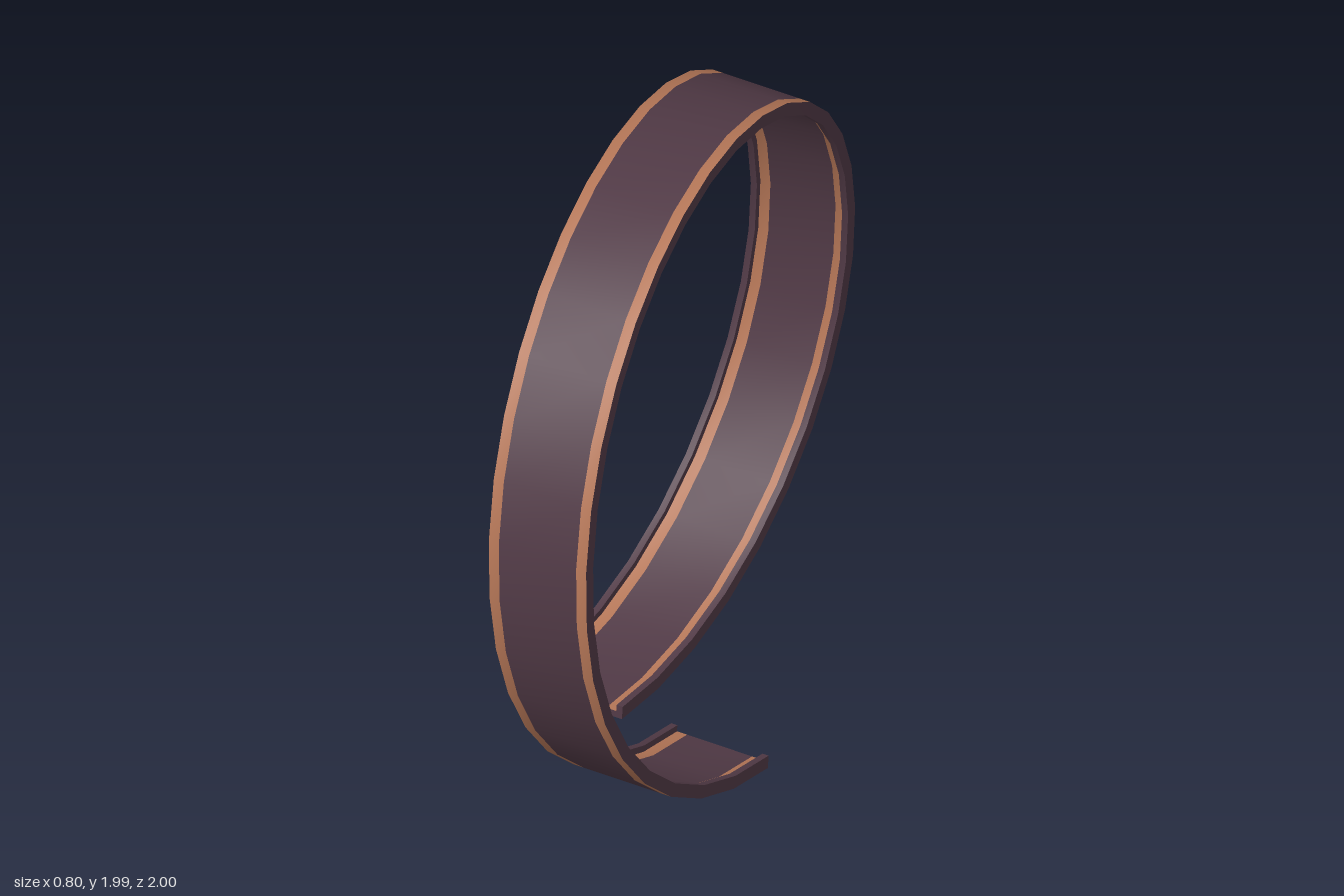
import * as THREE from 'three';

const SEGMENTS = 34;
const STEP = (Math.PI * 2) / SEGMENTS;
const W = 0.16;        // half width of the band
const LIP = 0.02;      // width of the raised edge
const STRIPE = 0.033;  // width of the coloured stripe
const OUT = 0.998, FLOOR = 0.978, RIM = 0.958; // radii

// sideways drift of the band along the loop
const drift = (t) => -0.24 + 0.48 * t + 0.03 * Math.sin(Math.PI * t) - 0.028 * Math.sin(2 * Math.PI * t);

// section point [across, radius] placed at step i of the loop
function place([dx, r], i) {
  const a = (i - 0.5) * STEP;
  return [drift(i / SEGMENTS) + dx, 1 - r * Math.cos(a), -r * Math.sin(a)];
}

function makeMesh(name, positions, index, material) {
  const g = new THREE.BufferGeometry();
  g.setAttribute('position', new THREE.Float32BufferAttribute(positions, 3));
  g.setIndex(index);
  g.computeVertexNormals();
  const mesh = new THREE.Mesh(g, material);
  mesh.name = name;
  return mesh;
}

// one face of the section swept around the loop, smooth along its length
function strip(name, a, b, material) {
  const positions = [], index = [];
  for (let i = 0; i <= SEGMENTS; i++) {
    positions.push(...place(a, i), ...place(b, i));
    if (i < SEGMENTS) {
      const k = i * 2;
      index.push(k, k + 1, k + 3, k, k + 3, k + 2);
    }
  }
  return makeMesh(name, positions, index, material);
}

// flat end of the band, made of the floor and the two lips
function endCap(name, i, material) {
  const rects = [[-W, W, FLOOR, OUT], [-W, -W + LIP, RIM, FLOOR], [W - LIP, W, RIM, FLOOR]];
  const positions = [], index = [];
  rects.forEach(([x0, x1, r0, r1], n) => {
    const k = n * 4;
    for (const p of [[x0, r0], [x1, r0], [x1, r1], [x0, r1]]) positions.push(...place(p, i));
    if (i === 0) index.push(k, k + 2, k + 1, k, k + 3, k + 2);
    else index.push(k, k + 1, k + 2, k, k + 2, k + 3);
  });
  return makeMesh(name, positions, index, material);
}

export function createModel() {
  const plum = new THREE.MeshStandardMaterial({ color: 0x503945 });
  plum.name = 'dark plum';
  const copper = new THREE.MeshStandardMaterial({ color: 0xb37556 });
  copper.name = 'copper';

  const group = new THREE.Group();
  group.name = 'loopTrack';
  const inner = W - LIP;

  // faces around the section, starting at the outer left edge
  const faces = [
    ['outerStripeLeft', [W, OUT], [W - STRIPE, OUT], copper],
    ['outerBand', [W - STRIPE, OUT], [-W + STRIPE, OUT], plum],
    ['outerStripeRight', [-W + STRIPE, OUT], [-W, OUT], copper],
    ['sideRight', [-W, OUT], [-W, RIM], plum],
    ['lipTopRight', [-W, RIM], [-inner, RIM], plum],
    ['lipWallRight', [-inner, RIM], [-inner, FLOOR], plum],
    ['innerStripeRight', [-inner, FLOOR], [-inner + STRIPE, FLOOR], copper],
    ['innerBand', [-inner + STRIPE, FLOOR], [inner - STRIPE, FLOOR], plum],
    ['innerStripeLeft', [inner - STRIPE, FLOOR], [inner, FLOOR], copper],
    ['lipWallLeft', [inner, FLOOR], [inner, RIM], plum],
    ['lipTopLeft', [inner, RIM], [W, RIM], plum],
    ['sideLeft', [W, RIM], [W, OUT], plum],
  ];
  for (const [name, a, b, material] of faces) group.add(strip(name, a, b, material));

  group.add(endCap('startCap', 0, plum), endCap('finishCap', SEGMENTS, plum));
  return group;
}
